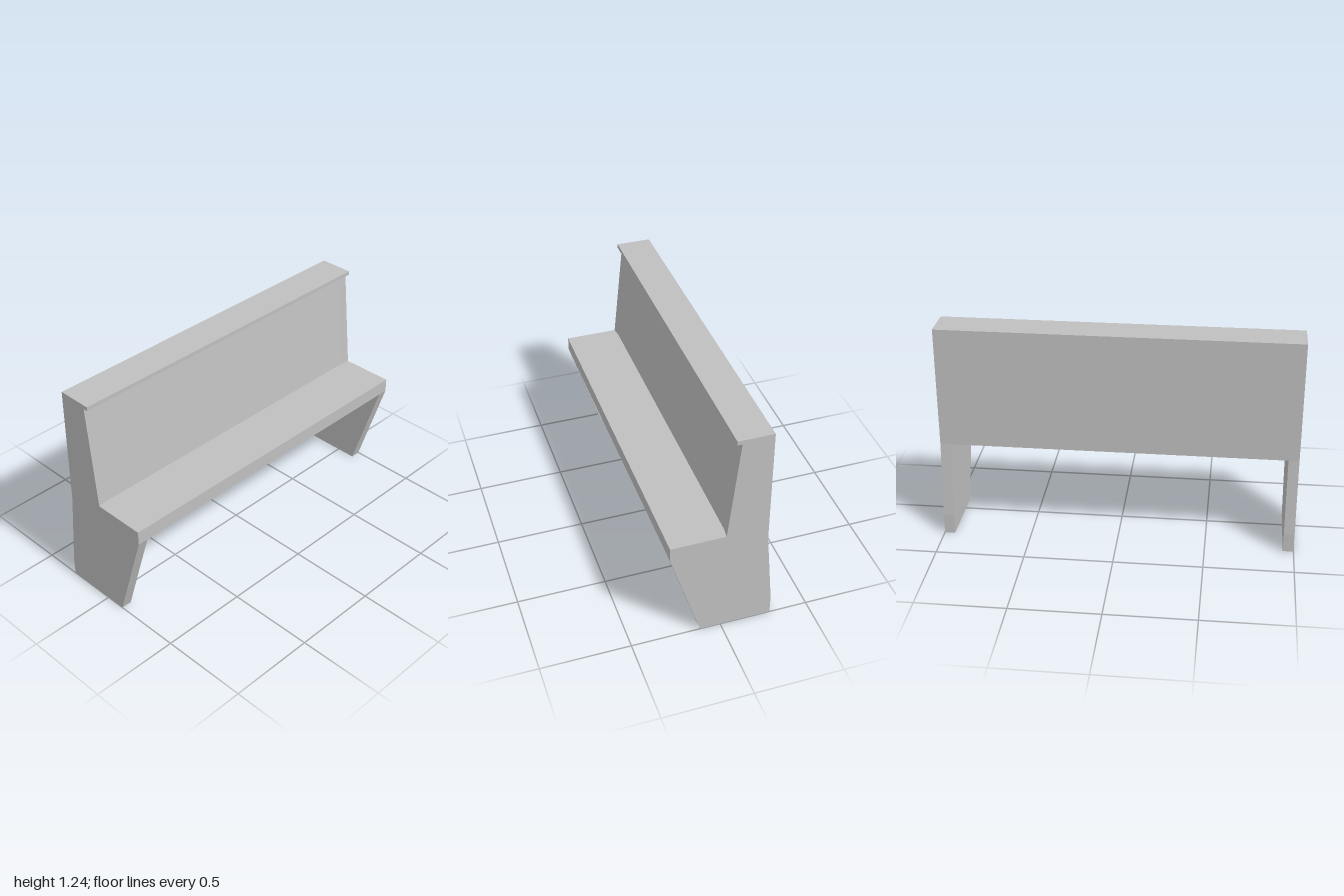
import * as THREE from 'three';

const HALF = 1;        // half length of the bench
const LEG = 0.06;      // thickness of the end panels
const UNDER = 0.555;   // underside of the seat
const SEAT = 0.635;    // top of the seat
const LEDGE = 1.22;    // underside of the top ledge
const TOP = 1.243;
const BACK = -0.247;

// Extrudes a side profile of [z, y] points along x, from x0 to x1
function extrudeSide(points, x0, x1) {
  const shape = new THREE.Shape(points.map(([z, y]) => new THREE.Vector2(z, y)));
  const geometry = new THREE.ExtrudeGeometry(shape, { depth: x1 - x0, bevelEnabled: false });
  geometry.rotateY(-Math.PI / 2);
  geometry.translate(x1, 0, 0);
  return geometry;
}

export function createModel() {
  const bench = new THREE.Group();
  bench.name = 'bench';
  const grey = new THREE.MeshStandardMaterial({ color: 0xbfbfbf });
  grey.name = 'light grey';

  const add = (name, geometry) => {
    const mesh = new THREE.Mesh(geometry, grey);
    mesh.name = name;
    bench.add(mesh);
  };

  // Seat slab
  add('seat', extrudeSide(
    [[0.287, UNDER], [0.287, SEAT], [BACK, SEAT], [BACK, UNDER]], -HALF, HALF));

  // Ledge along the top of the backrest
  add('topLedge', extrudeSide(
    [[-0.05, LEDGE], [-0.05, TOP], [BACK, TOP], [BACK, LEDGE]], -HALF, HALF));

  // Leaning backrest, set in slightly between its ends
  const inset = 0.007;
  add('backrest', extrudeSide(
    [[-0.016 - inset, SEAT], [-0.077 - inset, LEDGE], [BACK, LEDGE], [BACK, SEAT]],
    -HALF + LEG, HALF - LEG));

  for (const side of [1, -1]) {
    const label = side > 0 ? 'left' : 'right';
    const x0 = side > 0 ? HALF - LEG : -HALF;

    // Backrest end, its front easing back to the inset panel
    const end = extrudeSide(
      [[-0.016, SEAT], [-0.077, LEDGE], [BACK, LEDGE], [BACK, SEAT]], x0, x0 + LEG);
    const p = end.attributes.position;
    for (let i = 0; i < p.count; i++) {
      if (Math.abs(p.getX(i)) < HALF - LEG / 2 && p.getZ(i) > -0.1) p.setZ(i, p.getZ(i) - inset);
    }
    end.computeVertexNormals();
    add(label + 'BackrestEnd', end);

    // Tapered leg panel
    add(label + 'Leg', extrudeSide(
      [[0.115, 0], [0.287, UNDER], [BACK, UNDER], [-0.287, 0.115], [-0.287, 0]], x0, x0 + LEG));
  }

  return bench;
}
